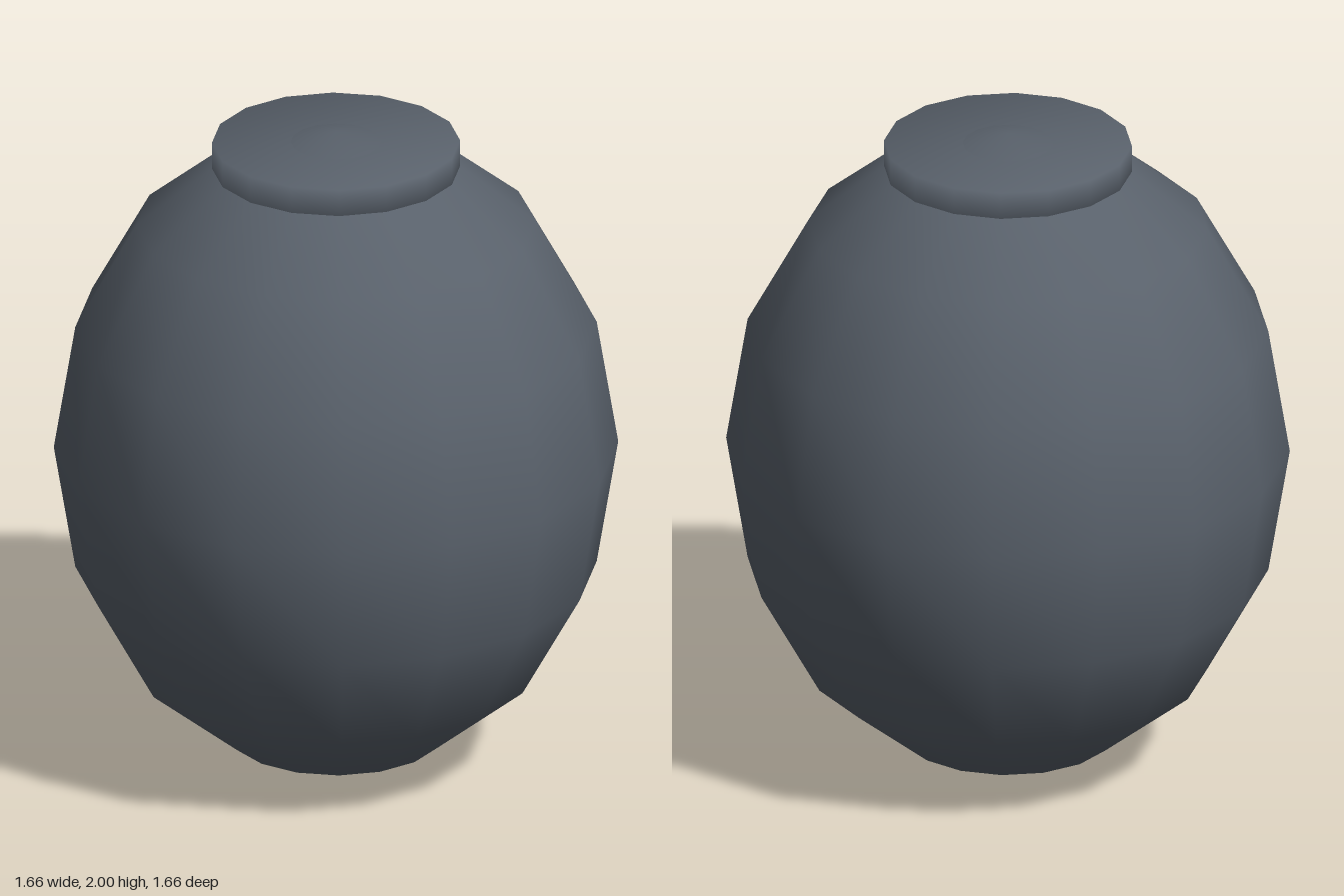
import * as THREE from 'three';

export function createModel() {
  const model = new THREE.Group();
  const material = new THREE.MeshStandardMaterial({ color: 0x59616b });
  const sides = 16;

  // Egg-shaped body: a coarse smooth sphere, squeezed sideways
  const bodyGeometry = new THREE.SphereGeometry(1, sides, 8);
  bodyGeometry.scale(0.83, 1, 0.83);
  bodyGeometry.translate(0, 1, 0);
  const body = new THREE.Mesh(bodyGeometry, material);
  body.name = 'body';
  model.add(body);

  // Short closed collar, smooth over its rims; the tip of the body pokes through it
  const radius = 0.365, bottom = 1.82, top = 1.968;
  const profile = [[0, bottom], [radius, bottom], [radius, top], [0, top]]
    .map(([x, y]) => new THREE.Vector2(x, y));
  const collar = new THREE.Mesh(new THREE.LatheGeometry(profile, sides), material);
  collar.name = 'collar';
  model.add(collar);

  return model;
}
